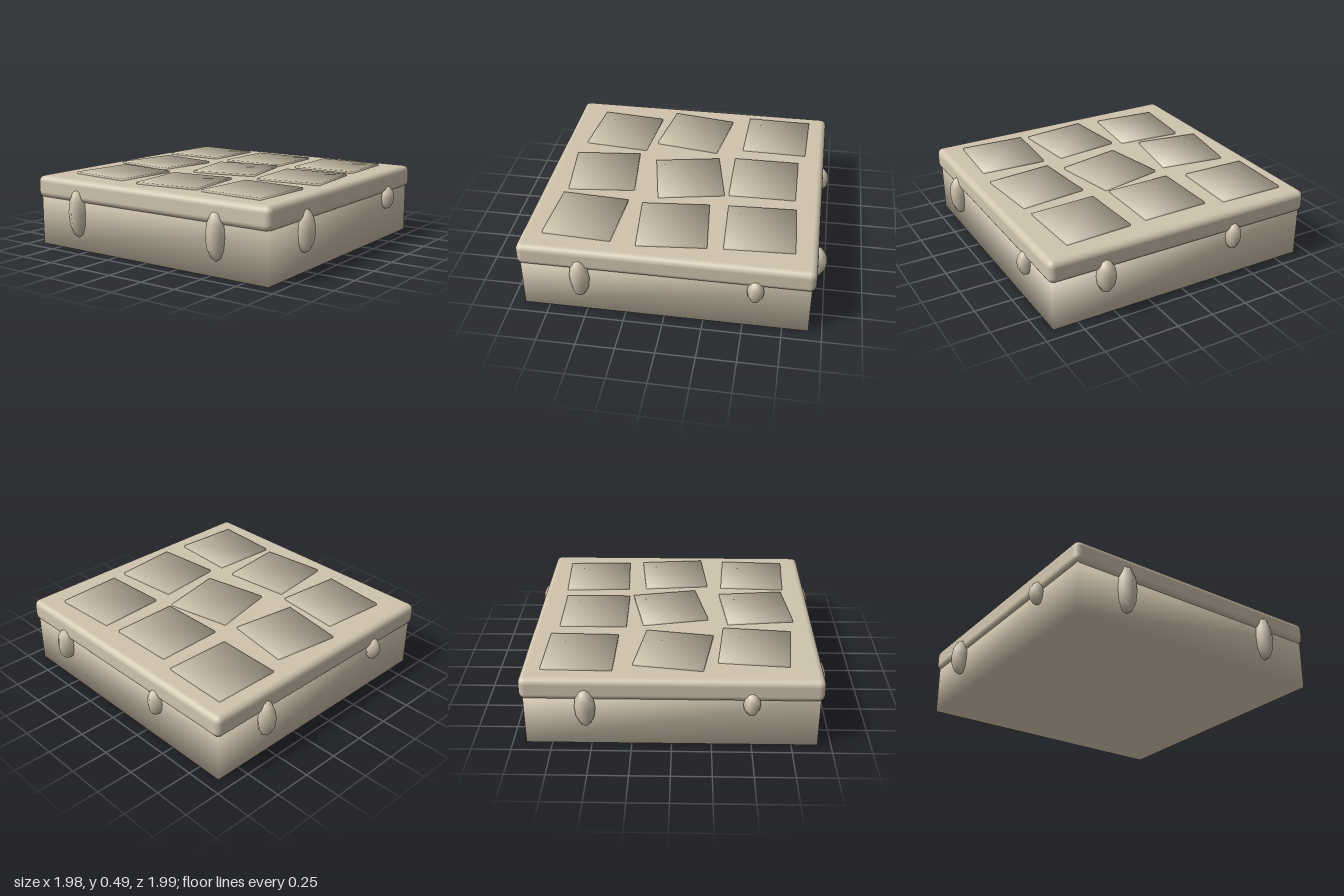
import * as THREE from 'three';
import { RoundedBoxGeometry } from 'three/addons/geometries/RoundedBoxGeometry.js';

const stone = new THREE.MeshStandardMaterial({ color: 0xd0c4ae });
stone.name = 'paleStone';

// Box whose normals are blended at the corners, for a soft pillowed look
function softBox(w, h, d) {
  const geo = new THREE.BoxGeometry(w, h, d);
  const p = geo.attributes.position;
  const n = new THREE.Vector3();
  for (let i = 0; i < p.count; i++) {
    n.set(Math.sign(p.getX(i)), Math.sign(p.getY(i)), Math.sign(p.getZ(i))).normalize();
    geo.attributes.normal.setXYZ(i, n.x, n.y, n.z);
  }
  return geo;
}

function addMesh(parent, name, geo, x, y, z) {
  const mesh = new THREE.Mesh(geo, stone);
  mesh.name = name;
  mesh.position.set(x, y, z);
  parent.add(mesh);
  return mesh;
}

export function createModel() {
  const model = new THREE.Group();
  model.name = 'tiledSlab';

  // Plinth and rounded top slab
  addMesh(model, 'base', softBox(1.83, 0.34, 1.83), 0, 0.17, 0);
  addMesh(model, 'topSlab', new RoundedBoxGeometry(1.876, 0.15, 1.876, 3, 0.042), 0, 0.398, 0);

  // Loosely laid paving tiles: x, z, turn
  const tiles = new THREE.Group();
  tiles.name = 'tiles';
  model.add(tiles);
  const tileGeo = softBox(0.445, 0.04, 0.445);
  [
    [-0.60, -0.585, -0.02], [-0.03, -0.54, 0.01], [0.54, -0.565, 0.045],
    [-0.57, 0.01, -0.155], [0.03, -0.03, 0.2], [0.58, -0.01, 0.095],
    [-0.52, 0.53, -0.095], [0.035, 0.56, 0.11], [0.57, 0.565, -0.055],
  ].forEach(([x, z, turn]) => {
    addMesh(tiles, 'tile', tileGeo, x, 0.467, z).rotation.y = turn;
  });

  // Six-sided drips hanging around the rim: x, z, bottom, top, radius
  const drips = new THREE.Group();
  drips.name = 'drips';
  model.add(drips);
  const dripGeo = new THREE.SphereGeometry(1, 6, 6).rotateY(Math.PI / 2);
  [
    [-0.57, 0.925, 0.09, 0.415, 0.066], [0.555, 0.925, 0.10, 0.41, 0.066],
    [0.928, 0.535, 0.125, 0.405, 0.066], [0.928, -0.573, 0.21, 0.375, 0.054],
    [0.567, -0.934, 0.17, 0.395, 0.066], [-0.367, -0.93, 0.2, 0.385, 0.055],
    [-0.933, -0.533, 0.145, 0.405, 0.066], [-0.932, 0.493, 0.23, 0.387, 0.054],
  ].forEach(([x, z, y0, y1, r]) => {
    addMesh(drips, 'drip', dripGeo, x, (y0 + y1) / 2, z).scale.set(r, (y1 - y0) / 2, r);
  });

  return model;
}
